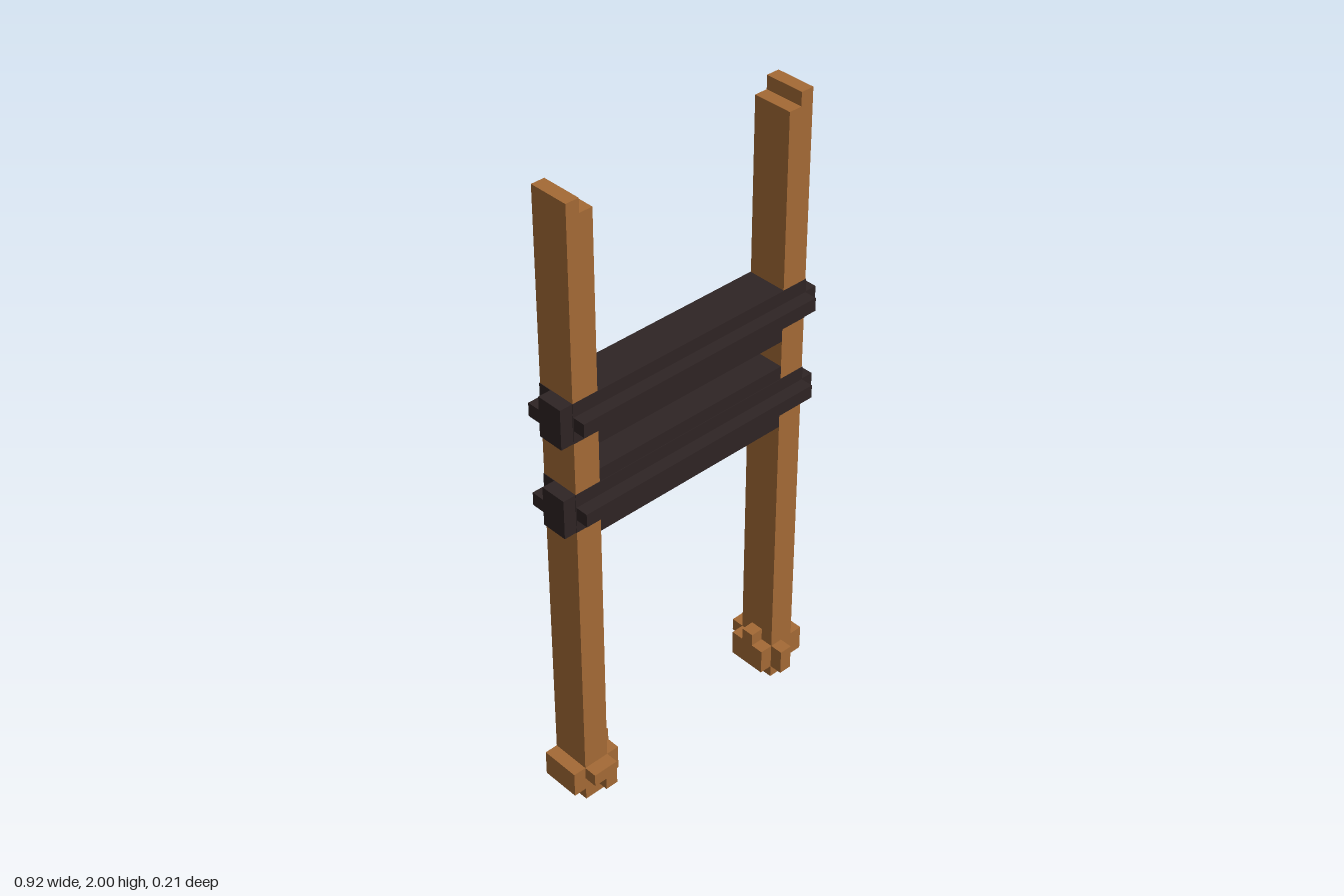
import * as THREE from 'three';

const U = 1 / 24; // one block of the grid

export function createModel() {
  const model = new THREE.Group();
  const wood = new THREE.MeshStandardMaterial({ color: 0xa46a35 });
  wood.name = 'warm wood';
  const dark = new THREE.MeshStandardMaterial({ color: 0x2e2424 });
  dark.name = 'dark wood';

  // Box between two corners, given in blocks
  function block(parent, name, material, x0, x1, y0, y1, z0, z1) {
    const mesh = new THREE.Mesh(
      new THREE.BoxGeometry((x1 - x0) * U, (y1 - y0) * U, (z1 - z0) * U), material);
    mesh.position.set((x0 + x1) / 2 * U, (y0 + y1) / 2 * U, (z0 + z1) / 2 * U);
    mesh.name = name;
    parent.add(mesh);
  }
  function group(name) {
    const g = new THREE.Group();
    g.name = name;
    model.add(g);
    return g;
  }

  // Posts with a stepped top and a knobbly foot
  for (const s of [-1, 1]) {
    const post = group(s > 0 ? 'leftPost' : 'rightPost');
    const side = (name, a, b, ...rest) =>
      block(post, name, wood, Math.min(s * a, s * b), Math.max(s * a, s * b), ...rest);
    side('innerShaft', 8, 9, 0, 47, -1.5, 1.5);
    side('outerShaft', 9, 10, 0, 48, -1.5, 1.5);
    side('outerFoot', 10, 11, 1, 3, -1.5, 1.5);
    side('innerFoot', 7, 8, 1, 3, -1.5, 1.5);
    side('innerFootTop', 7, 8, 3, 4, -0.5, 0.5);
    if (s > 0) {
      side('frontFoot', 8, 9, 1, 3, 1.5, 2.5);
      side('backFoot', 8, 9, 2, 3, -2.5, -1.5);
    } else {
      side('frontFootTop', 8, 10, 2, 3, 1.5, 2.5);
      side('frontFootBottom', 8, 9, 1, 2, 1.5, 2.5);
    }
  }

  // Rails: y is the bottom of the part that passes through the posts
  for (const [name, y, low, high] of [['lowerRail', 24, 23, 28], ['upperRail', 31, 30, 34]]) {
    const rail = group(name);
    const e = 0.04; // keeps the band just proud of the posts
    block(rail, 'core', dark, -8, 8, low, high, -1.5, 1.5);
    block(rail, 'postBand', dark, -10 - e, 10 + e, y, y + 3, -1.5 - e, 1.5 + e);
    block(rail, 'frontRidge', dark, -10, 10, y + 1, y + 2, 1.5, 2.5);
    block(rail, 'backRidge', dark, -9, 9, y + 1, y + 2, -2.5, -1.5);
    block(rail, 'leftEndUpright', dark, 10, 11, y, y + 3, -0.5, 0.5);
    block(rail, 'leftEndCross', dark, 10, 11, y + 1, y + 2, -1.5, 1.5);
    block(rail, 'rightEndUpright', dark, -11, -10, y, y + 3, -0.5, 1.5);
    block(rail, 'rightEndCross', dark, -11, -10, y + 1, y + 2, -1.5, -0.5);
  }
  return model;
}
